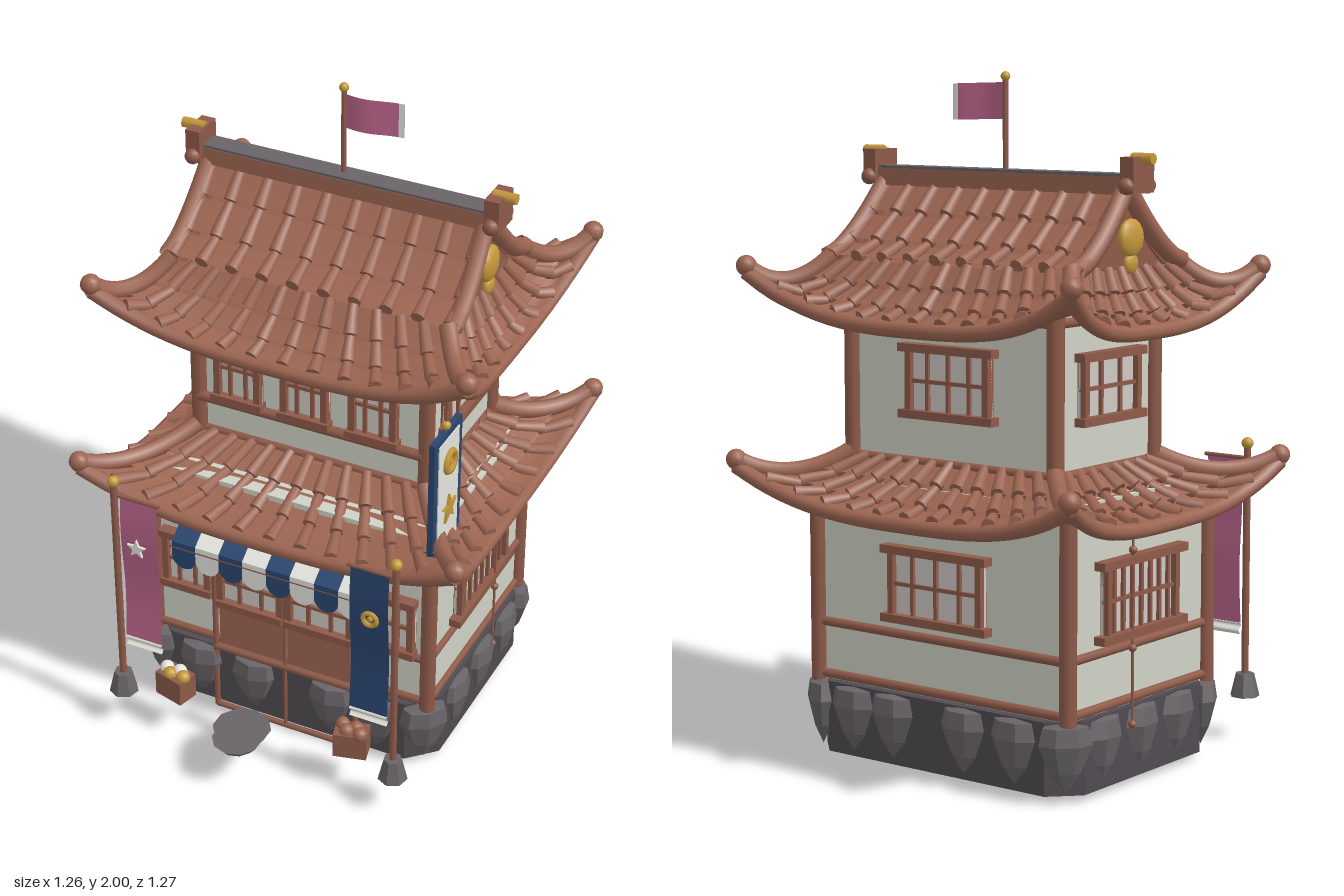
import * as THREE from 'three';
import { mergeGeometries } from 'three/addons/utils/BufferGeometryUtils.js';

const mat = (name, color, double) => {
  const m = new THREE.MeshStandardMaterial({ color });
  m.name = name;
  if (double) m.side = THREE.DoubleSide;
  return m;
};
const V = (x, y, z) => new THREE.Vector3(x, y, z);

export function createModel() {
  const tile = mat('roofTile', 0x9c6552, true), wood = mat('wood', 0x8e5a49);
  const wall = mat('plaster', 0xd0d2c6), stone = mat('stone', 0x686367), darkStone = mat('darkStone', 0x4f4b50);
  const pink = mat('pinkCloth', 0xb9648a, true), blue = mat('blueCloth', 0x2a4570, true);
  const gold = mat('gold', 0xc4983c), white = mat('whiteCloth', 0xe4e4de, true), pane = mat('windowPane', 0xcfc9c4);
  stone.flatShading = darkStone.flatShading = true;

  const root = new THREE.Group();
  root.name = 'teaHouse';
  const add = (name, geo, m, x = 0, y = 0, z = 0, parent = root) => {
    const mesh = new THREE.Mesh(geo, m);
    mesh.name = name;
    mesh.position.set(x, y, z);
    parent.add(mesh);
    return mesh;
  };
  const box = (name, w, h, d, m, x, y, z, parent) => add(name, new THREE.BoxGeometry(w, h, d), m, x, y, z, parent);
  const ball = (name, r, m, x, y, z, parent) => add(name, new THREE.SphereGeometry(r, 12, 8), m, x, y, z, parent);
  // tapered round bar between two points
  const rodGeo = (a, b, r0, r1 = r0) => {
    const d = b.clone().sub(a), g = new THREE.CylinderGeometry(r1, r0, d.length(), 8);
    g.applyQuaternion(new THREE.Quaternion().setFromUnitVectors(V(0, 1, 0), d.normalize()));
    const c = a.clone().add(b).multiplyScalar(0.5);
    return g.translate(c.x, c.y, c.z);
  };
  const rod = (name, a, b, r, m, parent) => add(name, rodGeo(a, b, r), m, 0, 0, 0, parent);
  // surface patch: u in -1..1, v in v0..v1
  const grid = (P, nu, nv, v0 = 0, v1 = 1) => {
    const pos = [], idx = [];
    for (let j = 0; j <= nv; j++) for (let i = 0; i <= nu; i++)
      pos.push(...P(-1 + 2 * i / nu, v0 + (v1 - v0) * j / nv).toArray());
    for (let j = 0; j < nv; j++) for (let i = 0; i < nu; i++) {
      const a = j * (nu + 1) + i, b = a + nu + 1;
      idx.push(a, b, a + 1, a + 1, b, b + 1);
    }
    const g = new THREE.BufferGeometry();
    g.setAttribute('position', new THREE.Float32BufferAttribute(pos, 3));
    g.setIndex(idx);
    g.computeVertexNormals();
    return g;
  };
  const tubeAlong = (f, r, n = 14) => {
    const pts = [];
    for (let i = 0; i <= n; i++) pts.push(f(i / n));
    return new THREE.TubeGeometry(new THREE.CatmullRomCurve3(pts), n * 2, r, 8);
  };
  const merge = list => mergeGeometries(list.map(g => { g.deleteAttribute('uv'); return g; }));

  // lapped rows of tiles with round rolls running down the slope
  const tileSlope = (P, cols, rows) => {
    const out = [grid((u, v) => P(u, v).add(V(0, -0.024, 0)), 20, 6)];
    for (let r = 0; r < rows; r++) {
      const v0 = r / rows, v1 = (r + 1) / rows;
      out.push(grid((u, v) => P(u, v).add(V(0, 0.014 * (v - v0) * rows, 0)), 20, 3, v0, v1));
      for (let c = 0; c <= cols; c++) {
        const u = -1 + 2 * c / cols;
        out.push(rodGeo(P(u, v0).add(V(0, 0.004, 0)), P(u, v1).add(V(0, 0.012, 0)), 0.015, 0.021));
      }
    }
    return out;
  };

  // four-sided skirt roof with upswept corners
  const skirtRoof = (name, s) => {
    const tiles = [], trim = [];
    for (const [onZ, sg] of [[1, 1], [1, -1], [0, 1], [0, -1]]) {
      const inA = onZ ? s.inX : s.inZ, inO = onZ ? s.inZ : s.inX;
      const outA = (onZ ? s.outX : s.outZ) + s.flare, outO = onZ ? s.outZ : s.outX;
      const P = (u, v) => {
        const e = Math.abs(u) ** 3;
        const a = u * (inA + (outA - inA) * v), o = inO + (outO + s.flare * e - inO) * v;
        const y = s.top - (s.top - s.eave) * (1 - (1 - v) ** 1.5) + s.lift * e * v * v;
        const c = s.cIn + (s.cOut - s.cIn) * v;
        return onZ ? V(a, y, c + sg * o) : V(sg * o, y, c + a);
      };
      tiles.push(...tileSlope(P, onZ ? 12 : 9, 3));
      trim.push(tubeAlong(t => P(-1 + 2 * t, 1).add(V(0, -0.008, 0)), 0.023));
      if (onZ) for (const u of [-1, 1]) {
        trim.push(tubeAlong(t => P(u, t).add(V(0, 0.014, 0)), 0.026));
        const p = P(u, 1);
        trim.push(new THREE.SphereGeometry(0.031, 10, 8).translate(p.x, p.y + 0.012, p.z));
      }
    }
    add(name + 'Tiles', merge(tiles), tile);
    add(name + 'HipsAndEaves', merge(trim), tile);
  };
  skirtRoof('lowerRoof', { inX: 0.37, inZ: 0.24, outX: 0.56, outZ: 0.475, flare: 0.04, top: 0.895, eave: 0.76, lift: 0.115, cIn: -0.13, cOut: -0.1 });
  skirtRoof('upperRoof', { inX: 0.43, inZ: 0.25, outX: 0.53, outZ: 0.405, flare: 0.05, top: 1.46, eave: 1.3, lift: 0.135, cIn: -0.13, cOut: -0.127 });

  // gabled top roof
  const gableTiles = [], barge = [];
  for (const s of [1, -1]) {
    const P = (u, v) => V(u * (0.42 + 0.015 * v), 1.68 - 0.22 * (1 - (1 - v) ** 1.5), -0.13 + s * 0.25 * v);
    gableTiles.push(...tileSlope(P, 9, 3));
    for (const u of [-1.03, 1.03]) barge.push(tubeAlong(t => P(u, t).add(V(0, 0.01, 0)), 0.027, 6));
  }
  add('gableRoofTiles', merge(gableTiles), tile);
  add('gableEdges', merge(barge), tile);
  const tri = new THREE.Shape([[-0.25, 1.44], [0.25, 1.44], [0.1, 1.55], [0, 1.67], [-0.1, 1.55]].map(p => new THREE.Vector2(...p)));
  for (const s of [1, -1]) {
    const g = add('gableWall', new THREE.ExtrudeGeometry(tri, { depth: 0.02, bevelEnabled: false }), wood, s * 0.41 - 0.01, 0, -0.13);
    g.rotation.y = Math.PI / 2;
    const disc = ball('gableOrnament', 0.055, gold, s * 0.445, 1.545, -0.125);
    disc.scale.x = 0.4;
    ball('gableDrop', 0.03, gold, s * 0.445, 1.475, -0.125).scale.x = 0.5;
    box('ridgeEnd', 0.045, 0.1, 0.1, wood, s * 0.465, 1.72, -0.125);
    for (const z of [-0.175, -0.075]) ball('ridgeEndKnob', 0.024, wood, s * 0.465, 1.69, z);
    rod('ridgeEndPeg', V(s * 0.45, 1.765, -0.125), V(s * 0.52, 1.765, -0.125), 0.016, gold);
  }
  box('ridgeBeam', 0.9, 0.05, 0.07, tile, 0, 1.69, -0.127);
  box('ridgeCap', 0.88, 0.008, 0.066, stone, 0, 1.719, -0.127);

  // roof flag
  rod('flagPole', V(-0.01, 1.7, -0.13), V(-0.01, 1.985, -0.13), 0.008, wood);
  ball('flagFinial', 0.014, gold, -0.01, 1.986, -0.13);
  const flag = (a, b) => grid((u, v) => { const t = a + (b - a) * v; return V(t, 1.917 + u * 0.052 - t * 0.03, -0.125 - 0.09 * t + 0.008 * Math.sin(t * 30)); }, 2, 10);
  add('roofFlag', flag(0, 0.15), pink);
  add('roofFlagEdge', flag(0.15, 0.168), white);

  // foundation with wedge stones
  const fx = 0.475, fz = 0.365, ch = 0.08;
  const plan = new THREE.Shape([[-fx, ch - fz], [ch - fx, -fz], [fx - ch, -fz], [fx, ch - fz], [fx, fz - ch], [fx - ch, fz], [ch - fx, fz], [-fx, fz - ch]].map(p => new THREE.Vector2(...p)));
  add('foundation', new THREE.ExtrudeGeometry(plan, { depth: 0.21, bevelEnabled: false }).rotateX(-Math.PI / 2), darkStone, 0, 0.02, -0.09);
  const wedge = new THREE.LatheGeometry([[0, 0.03], [0.045, 0.09], [0.078, 0.17], [0.066, 0.22], [0, 0.228]].map(p => new THREE.Vector2(...p)), 7);
  const putStone = (x, z, turn) => { const s = add('foundationStone', wedge, stone, x, 0, z); s.scale.z = 0.62; s.rotation.y = turn; };
  for (const s of [1, -1]) {
    for (const x of [-0.29, -0.11, 0.15, 0.3]) putStone(x, -0.09 + s * 0.36, 0);
    for (const z of [-0.28, -0.1, 0.08]) putStone(s * 0.465, z, Math.PI / 2);
    for (const t of [1, -1]) putStone(s * 0.445, -0.09 + t * 0.335, s * t * Math.PI / 4);
  }

  // storeys: plaster walls, corner posts and horizontal beams
  const storey = (name, hx, z0, z1, y0, y1, beams) => {
    box(name + 'Walls', hx * 2, y1 - y0, z1 - z0, wall, 0, (y0 + y1) / 2, (z0 + z1) / 2);
    for (const x of [-hx, hx]) for (const z of [z0, z1]) rod(name + 'Post', V(x, y0, z), V(x, y1, z), 0.025, wood);
    for (const y of beams) {
      for (const z of [z0, z1]) rod(name + 'Beam', V(-hx, y, z), V(hx, y, z), 0.014, wood);
      for (const x of [-hx, hx]) rod(name + 'Beam', V(x, y, z0), V(x, y, z1), 0.014, wood);
    }
  };
  storey('groundFloor', 0.455, -0.425, 0.25, 0.22, 0.83, [0.245, 0.4]);
  storey('upperFloor', 0.367, -0.366, 0.1, 0.8, 1.38, [0.895, 1.32]);
  rod('upperFrontSill', V(-0.37, 1.01, 0.11), V(0.37, 1.01, 0.11), 0.016, wood);

  // latticed window facing its own +z
  const win = (name, w, h, cols, rows, x, y, z, turn = 0, ledge = 0.04) => {
    const g = new THREE.Group();
    g.name = name;
    g.position.set(x, y, z);
    g.rotation.y = turn;
    root.add(g);
    box('pane', w, h, 0.008, pane, 0, 0, 0.006, g);
    for (const s of [1, -1]) {
      box('sideFrame', 0.02, h, 0.03, wood, s * (w / 2 - 0.01), 0, 0.012, g);
      box('ledge', w + ledge, 0.024, 0.04, wood, 0, s * h / 2, 0.016, g);
    }
    for (let i = 1; i < cols; i++) box('bar', 0.011, h, 0.016, wood, -w / 2 + w * i / cols, 0, 0.012, g);
    for (let i = 1; i < rows; i++) box('bar', w, 0.011, 0.016, wood, 0, -h / 2 + h * i / rows, 0.012, g);
  };
  for (const x of [-0.23, -0.013, 0.205]) win('upperFrontWindow', 0.15, 0.21, 3, 2, x, 1.135, 0.1, 0, 0.015);
  win('upperBackWindow', 0.3, 0.19, 4, 2, 0, 1.13, -0.366, Math.PI);
  win('lowerBackWindow', 0.34, 0.2, 4, 2, 0, 0.55, -0.425, Math.PI);
  for (const s of [1, -1]) {
    win('upperSideWindow', 0.27, 0.18, 3, 2, s * 0.367, 1.13, -0.13, s * Math.PI / 2, 0.03);
    win('lowerSideWindow', 0.35, 0.21, 8, 2, s * 0.455, 0.545, -0.1, s * Math.PI / 2, 0.06);
    win('frontWindow', 0.16, 0.18, 3, 2, s * 0.335, 0.51, 0.25, 0, 0.01);
    win('doorWindow', 0.22, 0.16, 3, 2, s * 0.115, 0.49, 0.262, 0, 0);
    box('doorPanel', 0.22, 0.16, 0.02, tile, s * 0.115, 0.325, 0.262);
    rod('doorPost', V(s * 0.235, 0.008, 0.28), V(s * 0.235, 0.62, 0.28), 0.009, wood);
    // hanging cord with beads on each side wall
    rod('cord', V(s * 0.487, 0.16, -0.165), V(s * 0.487, 0.76, -0.165), 0.004, wood);
    for (const y of [0.18, 0.4, 0.68]) ball('cordBead', 0.012, wood, s * 0.487, y, -0.165);
  }
  rod('doorMiddlePost', V(0, 0.008, 0.28), V(0, 0.6, 0.28), 0.006, wood);
  rod('doorSill', V(-0.235, 0.009, 0.28), V(0.235, 0.009, 0.28), 0.009, wood);
  rod('doorStep', V(-0.24, 0.235, 0.28), V(0.24, 0.235, 0.28), 0.012, wood);
  box('doorValance', 0.46, 0.03, 0.008, white, 0, 0.57, 0.285);

  // striped awning with scalloped flaps
  const sw = 0.0775, flap = new THREE.Shape();
  flap.moveTo(-sw / 2, 0.05).lineTo(-sw / 2, 0).absarc(0, 0, sw / 2, Math.PI, 2 * Math.PI, false).lineTo(sw / 2, 0.05);
  for (let i = 0; i < 8; i++) {
    const x = -0.31 + sw * (i + 0.5), m = i % 2 ? white : blue;
    add('awningStripe', grid((u, v) => V(x + u * sw / 2, 0.755 - 0.075 * v ** 1.3, 0.26 + 0.135 * v), 1, 5), m);
    add('awningFlap', new THREE.ShapeGeometry(flap, 8), m, x, 0.63, 0.395);
  }
  rod('awningRail', V(-0.32, 0.66, 0.39), V(0.32, 0.66, 0.39), 0.006, wood);
  for (const [y0, y1] of [[0.6, 0.71], [0.71, 0.6]]) rod('awningBracket', V(0.32, y0, 0.3), V(0.32, y1, 0.41), 0.007, white);

  // emblems
  const starShape = new THREE.Shape(Array.from({ length: 10 }, (_, i) => {
    const r = i % 2 ? 0.42 : 1, a = Math.PI / 2 + i * Math.PI / 5;
    return new THREE.Vector2(r * Math.cos(a), r * Math.sin(a));
  }));
  const star = (r, m, x, y, z, turn = 0) => {
    const s = add('star', new THREE.ExtrudeGeometry(starShape, { depth: 0.2, bevelEnabled: false }), m, x, y, z);
    s.scale.set(r, r, 0.04);
    s.rotation.y = turn;
  };
  const rosette = (r, x, y, z, turn = 0) => {
    const g = new THREE.Group();
    g.name = 'rosette';
    g.position.set(x, y, z);
    g.rotation.y = turn;
    root.add(g);
    add('ring', new THREE.TorusGeometry(r * 0.75, r * 0.28, 6, 16), gold, 0, 0, 0, g);
    ball('centre', r * 0.35, gold, 0, 0, 0, g).scale.z = 0.5;
  };

  // standing banners on stone feet
  for (const [s, cloth] of [[-1, pink], [1, blue]]) {
    rod('bannerPole', V(s * 0.45, 0.17, 0.475), V(s * 0.45, 0.89, 0.475), 0.011, wood);
    ball('bannerFinial', 0.018, gold, s * 0.45, 0.9, 0.475);
    add('bannerFoot', new THREE.CylinderGeometry(0.028, 0.045, 0.07, 7), stone, s * 0.45, 0.165, 0.475);
    rod('bannerArm', V(s * 0.45, 0.855, 0.475), V(s * 0.3, 0.855, 0.475), 0.006, wood);
    const strip = (y0, y1) => grid((u, v) => V(s * 0.37 + u * 0.06, y0 + (y1 - y0) * v, 0.475 + 0.006 * Math.sin(v * 7)), 1, 10);
    add('banner', strip(0.85, 0.35), cloth);
    add('bannerHem', strip(0.35, 0.315), white);
  }
  star(0.032, white, -0.375, 0.69, 0.483);
  rosette(0.028, 0.375, 0.69, 0.484);

  // hanging sign on the left side
  box('signBorder', 0.018, 0.48, 0.185, blue, 0.475, 0.96, 0.215);
  box('signFace', 0.024, 0.44, 0.135, white, 0.475, 0.96, 0.215);
  rosette(0.04, 0.49, 1.1, 0.215, Math.PI / 2);
  star(0.047, gold, 0.487, 0.94, 0.215, Math.PI / 2);
  ball('signFinial', 0.014, gold, 0.475, 1.215, 0.215);
  rod('signHook', V(0.475, 1.2, 0.215), V(0.475, 1.32, 0.2), 0.005, wood);

  // stepping stones and goods by the door
  for (const [x, z, r] of [[-0.03, 0.505, 0.088], [-0.02, 0.555, 0.075]])
    add('steppingStone', new THREE.CylinderGeometry(r, r * 0.7, 0.025, 10), stone, x, 0.145, z);
  for (const s of [1, -1]) {
    const c = box('crate', 0.1, 0.08, 0.07, wood, s * 0.295, 0.175, 0.43);
    c.rotation.y = s * 0.25;
    for (let i = 0; i < 4; i++)
      ball('goods', 0.022, s > 0 ? tile : i % 2 ? gold : white, s * 0.295 - 0.033 + i * 0.022, 0.218, 0.42 + (i % 2) * 0.022);
  }
  return root;
}
